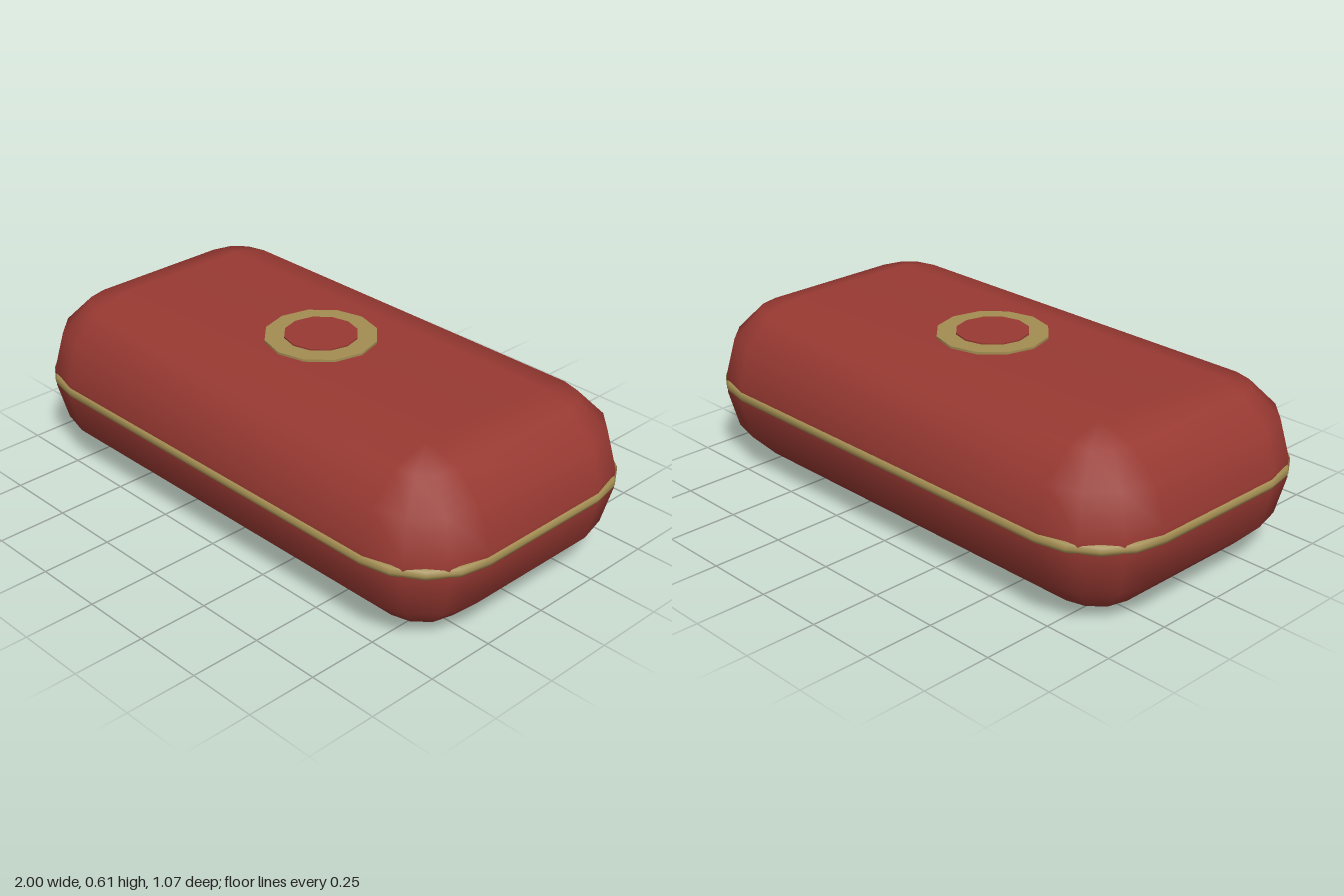
import * as THREE from 'three';
import { mergeVertices } from 'three/addons/utils/BufferGeometryUtils.js';

const red = new THREE.MeshStandardMaterial({ color: 0x983932 });
red.name = 'red';
const gold = new THREE.MeshStandardMaterial({ color: 0xa38d52 });
gold.name = 'gold';

// Stacks rounded-rectangle rings, given as [corner radius, height] from the top down the outside.
// The corner arcs are centred on (+-cx, +-cz); ends are capped unless the rings close on themselves.
function roundedLoft(profile, cx, cz, segments, closed) {
  const positions = [], index = [];
  const n = 4 * (segments + 1);
  for (const [radius, y] of profile) {
    for (let corner = 0; corner < 4; corner++) {
      const sx = corner === 0 || corner === 3 ? 1 : -1;
      const sz = corner < 2 ? 1 : -1;
      for (let s = 0; s <= segments; s++) {
        const a = (corner + s / segments) * Math.PI / 2;
        positions.push(sx * cx + radius * Math.cos(a), y, sz * cz + radius * Math.sin(a));
      }
    }
  }
  const rows = profile.length;
  for (let j = 0; j < (closed ? rows : rows - 1); j++) {
    for (let i = 0; i < n; i++) {
      const a = j * n + i, b = j * n + (i + 1) % n;
      const c = ((j + 1) % rows) * n + i, d = ((j + 1) % rows) * n + (i + 1) % n;
      index.push(a, b, c, b, d, c);
    }
  }
  if (!closed) {
    const k = segments + 1, e = (rows - 1) * n;
    index.push(0, 2 * k, k, 0, 3 * k, 2 * k);
    index.push(e, e + k, e + 2 * k, e, e + 2 * k, e + 3 * k);
  }
  const geometry = new THREE.BufferGeometry();
  geometry.setAttribute('position', new THREE.Float32BufferAttribute(positions, 3));
  geometry.setIndex(index);
  const merged = mergeVertices(geometry, 1e-4);
  merged.computeVertexNormals();
  return merged;
}

export function createModel() {
  const model = new THREE.Group();
  model.name = 'clutchCase';
  const add = (name, geometry, material, y = 0) => {
    const mesh = new THREE.Mesh(geometry, material);
    mesh.name = name;
    mesh.position.y = y;
    model.add(mesh);
  };

  // Pillow-like case with three-step rounded edges and corners
  const r = 0.265, bodyProfile = [];
  for (const top of [true, false]) {
    for (let s = 0; s <= 3; s++) {
      const a = (top ? s : 3 + s) * Math.PI / 6;
      bodyProfile.push([r * Math.sin(a), (top ? 0.6 - r : r) + r * Math.cos(a)]);
    }
  }
  add('caseBody', roundedLoft(bodyProfile, 0.725, 0.26, 3, false), red);

  // Round piping along the seam
  const pipingProfile = [];
  for (let s = 0; s < 8; s++) {
    const a = Math.PI / 2 - s * Math.PI / 4;
    pipingProfile.push([0.26 + 0.02 * Math.cos(a), 0.3 + 0.02 * Math.sin(a)]);
  }
  add('seamPiping', roundedLoft(pipingProfile, 0.72, 0.255, 4, true), gold);

  // Medallion on the lid
  add('medallionRing', new THREE.CylinderGeometry(0.193, 0.193, 0.009, 12), gold, 0.6035);
  add('medallionCentre', new THREE.CylinderGeometry(0.126, 0.126, 0.009, 12), red, 0.6085);

  return model;
}
